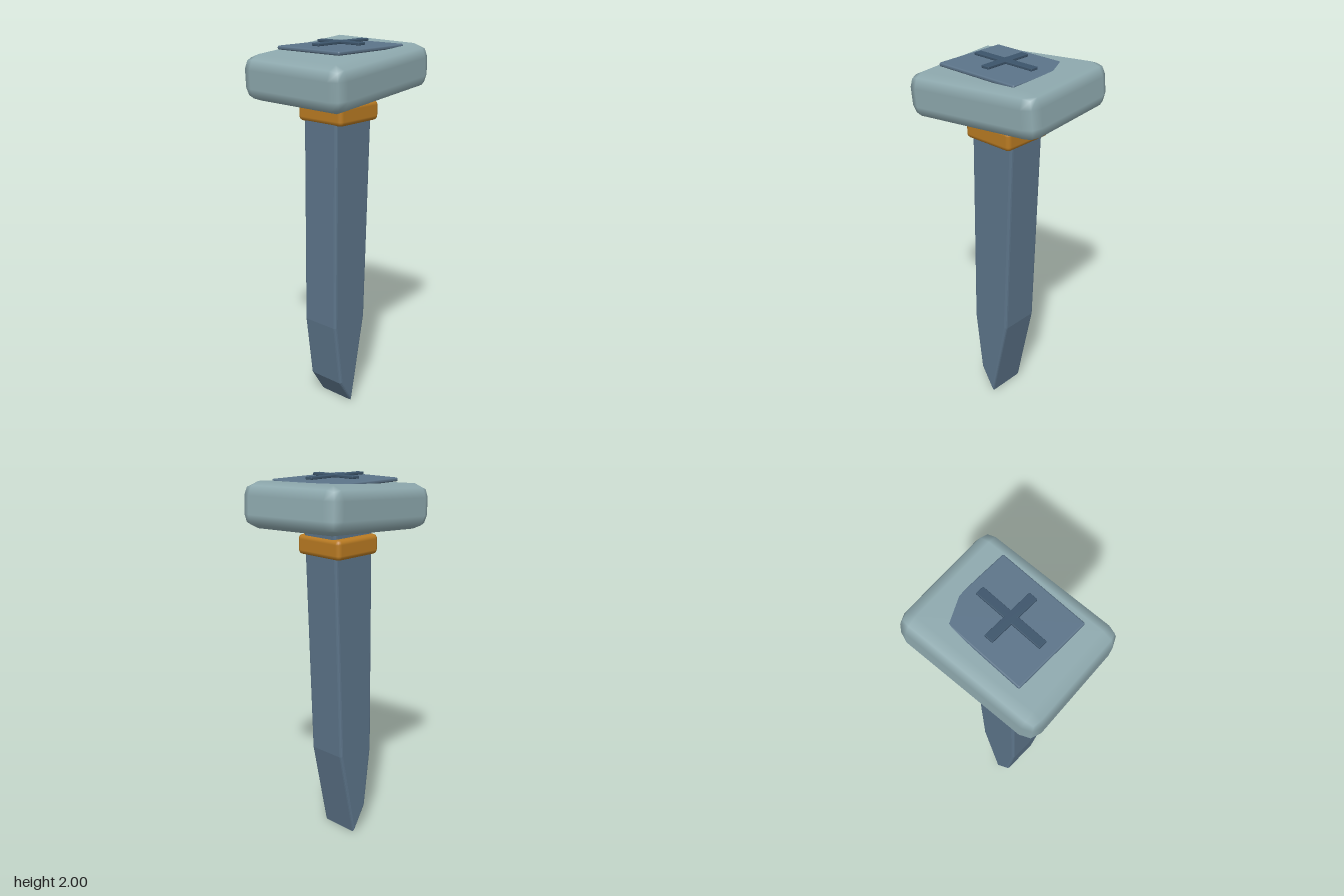
import * as THREE from 'three';
import { RoundedBoxGeometry } from 'three/addons/geometries/RoundedBoxGeometry.js';

const flat = (name, color) => {
  const m = new THREE.MeshStandardMaterial({ color });
  m.name = name;
  return m;
};

export function createModel() {
  const group = new THREE.Group();
  const steel = flat('blue steel', 0x5c7489);
  const paleSteel = flat('pale steel', 0x8ea9ae);
  const darkSteel = flat('dark steel', 0x3c546a);
  const amber = flat('amber', 0xb87a22);

  const add = (name, geometry, material, x, y, z) => {
    const mesh = new THREE.Mesh(geometry, material);
    mesh.name = name;
    mesh.position.set(x, y, z);
    group.add(mesh);
    return mesh;
  };
  const block = (w, h, d, r, segments = 2) => new RoundedBoxGeometry(w, h, d, segments, r);

  // Tapered shank with an off-centre chisel point, bevelled on front and back
  const outline = [
    [-0.14, 1.78], [-0.15, 0.49], [-0.105, 0.14], [-0.015, 0.0], [0.09, 0.5], [0.137, 1.78],
  ].map(([x, y]) => new THREE.Vector2(x, y));
  const bevel = 0.015, depth = 0.226;
  const shank = new THREE.ExtrudeGeometry(new THREE.Shape(outline), {
    depth: depth - 2 * bevel, bevelEnabled: true, bevelSize: bevel,
    bevelThickness: bevel, bevelOffset: -bevel, bevelSegments: 3,
  });
  shank.translate(0, 0, bevel - depth / 2);
  add('shank', shank, steel, 0, 0, 0);

  // Band around the neck
  add('collar', block(0.297, 0.104, 0.3, 0.024), amber, -0.002, 1.648, 0.002);

  // Slightly crooked hammered head
  const head = add('head', block(0.79, 0.232, 0.625, 0.07, 1), paleSteel, 0, 1.845, 0);
  head.rotation.set(0.03, 0.07, 0.07);

  // Level plate, partly sunk into the tilted head
  add('topPlate', block(0.49, 0.02, 0.415, 0.008), steel, 0, 1.97, 0.0175);

  // Cross mark above the plate
  add('crossBarWide', block(0.376, 0.013, 0.045, 0.003), darkSteel, 0, 1.9932, 0.0175);
  add('crossBarDeep', block(0.047, 0.0136, 0.28, 0.003), darkSteel, -0.001, 1.9932, 0.0175);

  return group;
}
